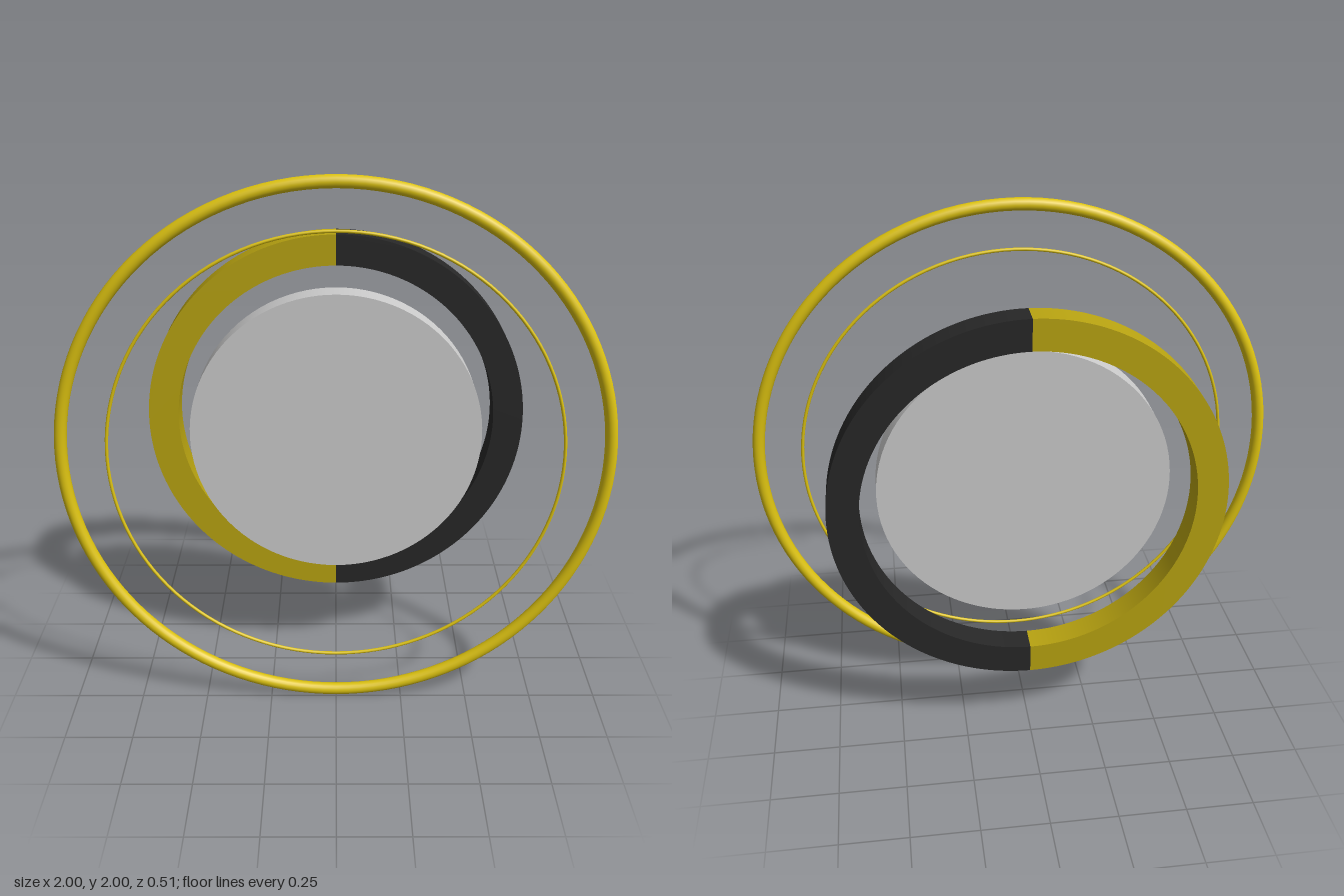
import * as THREE from 'three';

const TILT = -0.0175;

export function createModel() {
  const model = new THREE.Group();
  const gold = new THREE.MeshStandardMaterial({ color: 0xdcc210 });
  const ochre = new THREE.MeshStandardMaterial({ color: 0xb8a311 });
  const black = new THREE.MeshStandardMaterial({ color: 0x272727 });
  const grey = new THREE.MeshStandardMaterial({ color: 0xcccccc });

  // Every part shares the same slight backward lean
  function add(name, geometry, material, z) {
    const mesh = new THREE.Mesh(geometry, material);
    mesh.name = name;
    mesh.position.set(0, 1.002, z);
    mesh.rotation.x = TILT;
    model.add(mesh);
  }

  // Half of a flat band with square edges, starting at the given angle
  function halfBand(start, inner, outer, depth) {
    const shape = new THREE.Shape();
    shape.absarc(0, 0, outer, start, start + Math.PI, false);
    shape.absarc(0, 0, inner, start + Math.PI, start, true);
    const geometry = new THREE.ExtrudeGeometry(shape, { depth, bevelEnabled: false, curveSegments: 64 });
    geometry.translate(0, 0, -depth / 2);
    // Smooth the curved walls with radial normals, leaving caps and ends flat
    const p = geometry.attributes.position, n = geometry.attributes.normal;
    for (let i = 0; i < p.count; i++) {
      const r = Math.hypot(p.getX(i), p.getY(i));
      const dot = (n.getX(i) * p.getX(i) + n.getY(i) * p.getY(i)) / r;
      if (Math.abs(dot) > 0.9) {
        const s = Math.sign(dot) / r;
        n.setXYZ(i, p.getX(i) * s, p.getY(i) * s, 0);
      }
    }
    return geometry;
  }

  // Front hoops: thick outer and thin inner
  add('outerHoop', new THREE.TorusGeometry(0.977, 0.0225, 20, 128), gold, 0.217);
  add('innerHoop', new THREE.TorusGeometry(0.815, 0.006, 12, 128), gold, 0.217);

  // Central disc
  const disc = new THREE.CylinderGeometry(0.544, 0.544, 0.1, 96);
  disc.rotateX(Math.PI / 2);
  add('disc', disc, grey, -0.028);

  // Two-coloured rear ring
  add('rearRingLeft', halfBand(-Math.PI / 2, 0.606, 0.72, 0.1), black, -0.19);
  add('rearRingRight', halfBand(Math.PI / 2, 0.606, 0.72, 0.1), ochre, -0.19);

  return model;
}
